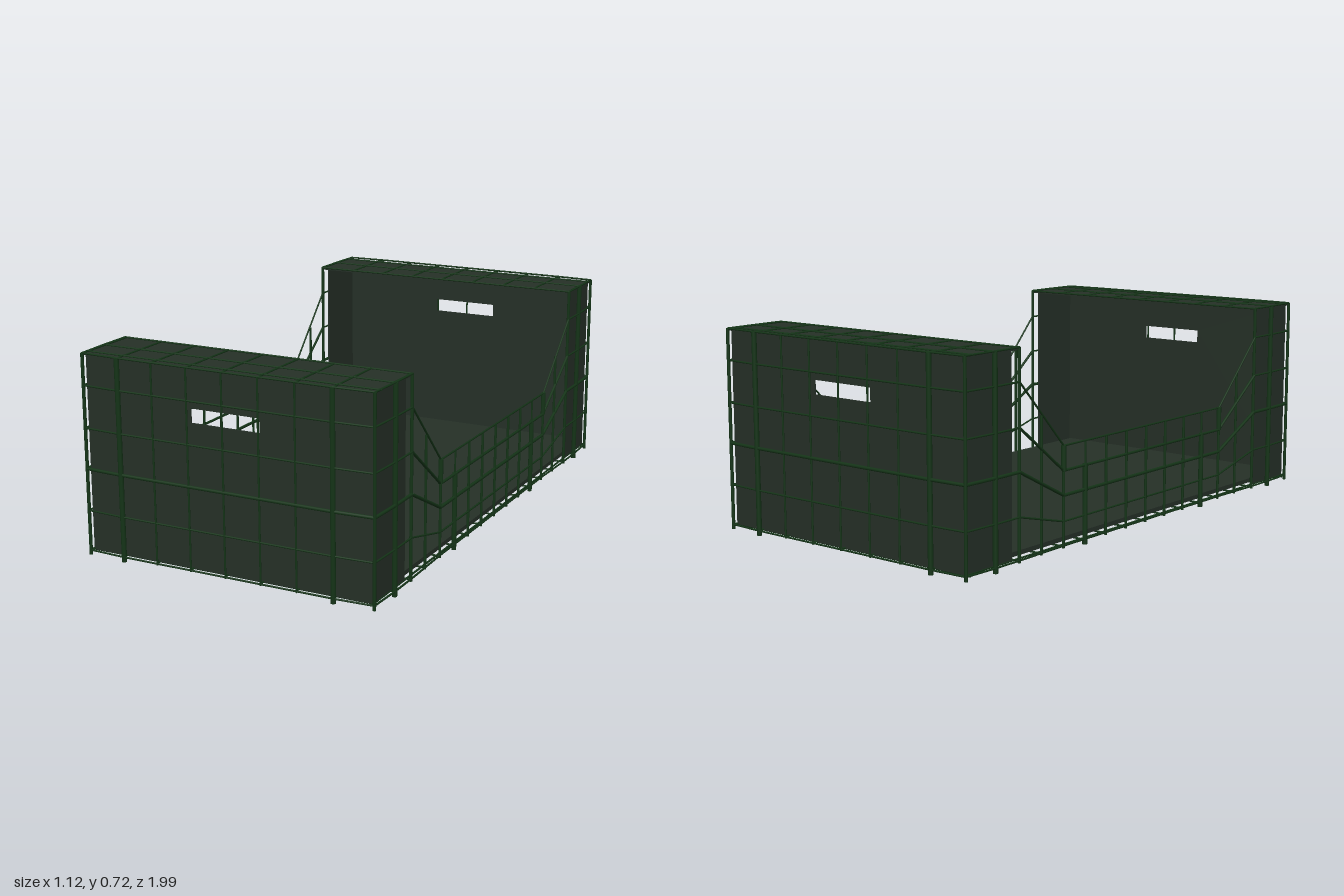
import * as THREE from 'three';
import { mergeGeometries } from 'three/addons/utils/BufferGeometryUtils.js';

export function createModel() {
  const model = new THREE.Group();
  const panelMat = new THREE.MeshStandardMaterial({ color: 0x253027 });
  const wireMat = new THREE.MeshStandardMaterial({ color: 0x143417 });
  const UP = new THREE.Vector3(0, 1, 0);
  const THIN = 0.0035, MID = 0.006, POST = 0.009;

  const add = (name, geometry, material) => {
    const mesh = new THREE.Mesh(geometry, material);
    mesh.name = name;
    model.add(mesh);
    return mesh;
  };
  const box = (name, w, h, d, x, y, z) =>
    add(name, new THREE.BoxGeometry(w, h, d).translate(x, y, z), panelMat);

  // Straight wires along a list of points
  const wire = (list, points, radius) => {
    for (let i = 0; i + 1 < points.length; i++) {
      const a = new THREE.Vector3(...points[i]), b = new THREE.Vector3(...points[i + 1]);
      const dir = b.clone().sub(a);
      const g = new THREE.CylinderGeometry(radius, radius, dir.length(), 8);
      g.applyQuaternion(new THREE.Quaternion().setFromUnitVectors(UP, dir.clone().normalize()));
      const mid = a.add(b).multiplyScalar(0.5);
      list.push(g.translate(mid.x, mid.y, mid.z));
    }
  };

  const columns = [-0.54, -0.405, -0.27, -0.135, 0, 0.135, 0.27, 0.405, 0.54];
  const rows = [0.02, 0.165, 0.315, 0.46, 0.61, 0.722];

  // Floor sheet
  box('floor', 1.064, 0.016, 1.93, 0, 0.038, 0);

  for (const s of [1, -1]) {
    const end = s > 0 ? 'front' : 'back';

    // End sheet with a hand slot
    const shape = new THREE.Shape([[-0.542, 0.02], [0.542, 0.02], [0.542, 0.715], [-0.542, 0.715]]
      .map(p => new THREE.Vector2(...p)));
    shape.holes.push(new THREE.Path([[-0.13, 0.53], [-0.13, 0.58], [0.13, 0.58], [0.13, 0.53]]
      .map(p => new THREE.Vector2(...p))));
    const sheet = new THREE.ExtrudeGeometry(shape, { depth: 0.006, bevelEnabled: false });
    add(end + 'Panel', sheet.translate(0, 0, s * 0.966 - 0.003), panelMat);

    // Lid and short side sheets
    box(end + 'Lid', 1.1, 0.006, 0.25, 0, 0.716, s * 0.845);
    for (const x of [-0.539, 0.539])
      box(end + 'SidePanel', 0.006, 0.695, 0.222, x, 0.368, s * 0.856);

    // Wire rows wrapped around the end, slightly bowed in plan
    const cage = [];
    rows.forEach((y, i) => {
      const plan = [[0.554, 0.72], [0.554, 0.84], [0.549, 0.98], [0.405, 0.987]];
      const half = plan.map(([x, z]) => [x, y, s * z]);
      const other = half.map(([x, yy, z]) => [-x, yy, z]).reverse();
      wire(cage, [...half, ...other], i === 2 ? MID : THIN);
    });
    // Upright wires and corner posts on the end face
    for (const x of columns) {
      const post = Math.abs(x) === 0.405, corner = Math.abs(x) === 0.54;
      const z = s * (corner ? 0.98 : 0.987);
      const px = corner ? Math.sign(x) * 0.549 : x;
      wire(cage, [[px, post || corner ? 0.004 : 0.015, z], [px, 0.722, z]],
        post ? POST : corner ? MID : THIN);
      // Short wires across the lid
      wire(cage, [[px, 0.721, s * 0.72], [px, 0.721, z]], THIN);
    }
    // Long wires along the lid
    for (const z of [0.72, 0.845, 0.945])
      wire(cage, [[-0.555, 0.721, s * z], [0.555, 0.721, s * z]], THIN);
    add(end + 'Cage', mergeGeometries(cage), wireMat);
  }

  // Open side grids, dipping in the middle
  const low = [0.02, 0.105, 0.195, 0.28, 0.365];
  for (const m of [1, -1]) {
    const grid = [];
    const x = m * 0.548;
    low.forEach((y, i) => {
      const h = rows[i];
      wire(grid, [[m * 0.554, h, -0.72], [x, y, -0.48], [x, y, 0.48], [m * 0.554, h, 0.72]],
        i === 2 ? MID : i === 3 ? 0.005 : THIN);
    });
    for (let k = -7; k <= 7; k++) {
      const z = k * 0.12, a = Math.abs(k);
      const top = a <= 4 ? 0.365 : a === 5 ? 0.485 : 0.722;
      const px = a >= 6 ? m * 0.552 : x;
      const heavy = a === 3 || a === 7;
      wire(grid, [[px, heavy ? 0.002 : 0.012, z], [px, a === 3 ? 0.285 : top, z]],
        heavy ? POST : a === 6 ? MID : 0.005);
      if (a === 3) wire(grid, [[px, 0.28, z], [px, 0.365, z]], THIN);
      if (a === 4) wire(grid, [[px, 0.28, z], [px, 0.367, z]], POST);
    }
    add(m > 0 ? 'leftSideGrid' : 'rightSideGrid', mergeGeometries(grid), wireMat);
  }

  // Wire grid under the floor
  const base = [];
  for (const x of columns) wire(base, [[x, 0.022, -0.98], [x, 0.022, 0.98]], THIN);
  for (let k = -8; k <= 8; k++) {
    const z = k * 0.12;
    wire(base, [[-0.55, 0.018, z], [0.55, 0.018, z]], THIN);
  }
  add('baseGrid', mergeGeometries(base), wireMat);

  return model;
}
